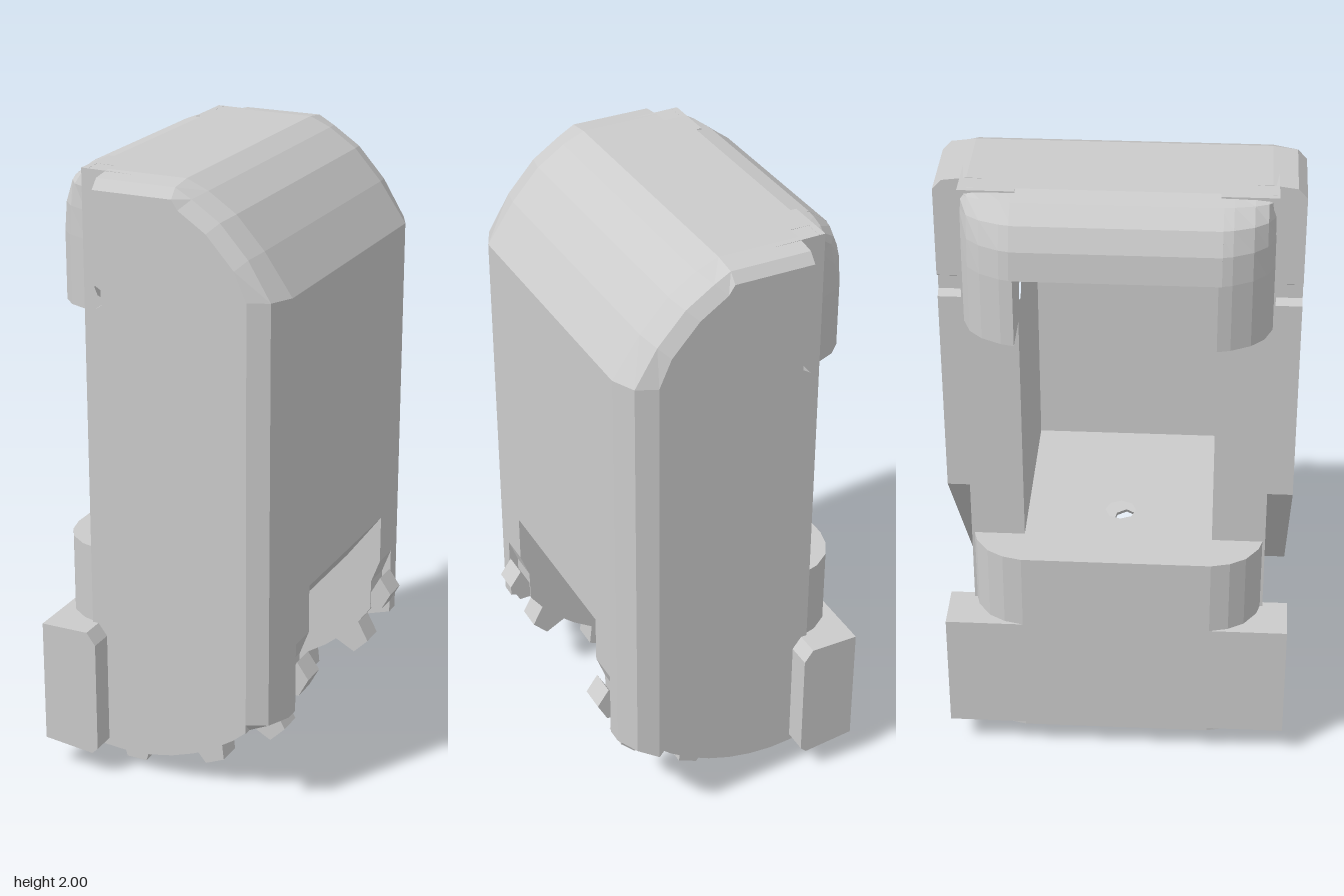
import * as THREE from 'three';

const material = new THREE.MeshStandardMaterial({ color: 0xcccccc, flatShading: true });

// rounded roof line from the flat top down to the front face
const ROOF = [[0.07, 2], [0.14, 1.97], [0.23, 1.91], [0.32, 1.81], [0.41, 1.68]];
// rounded back edge of the cap, from its lower corner up to the top
const CAP = [[-0.41, 1.78], [-0.4, 1.87], [-0.37, 1.94], [-0.31, 1.985], [-0.25, 2]];
// plan of the rounded back corner as [x, z]
const CORNER = [[-0.41, 0.3], [-0.395, 0.36], [-0.365, 0.41], [-0.31, 0.45], [-0.25, 0.467], [-0.2, 0.47]];
const GEAR = { x: -0.15, y: 0.7, r: 0.63 };

const flipZ = pts => pts.map(([x, z]) => [x, -z]);
const toShape = pts => new THREE.Shape(pts.map(p => new THREE.Vector2(...p)));

function hole(shape, x, y, r) {
  const path = new THREE.Path();
  path.absarc(x, y, r, 0, Math.PI * 2, true);
  shape.holes.push(path);
  return shape;
}

// prism of a side profile between two z values
function prism(shape, z0, z1) {
  return new THREE.ExtrudeGeometry(shape, { depth: z1 - z0, bevelEnabled: false, curveSegments: 4 }).translate(0, 0, z0);
}

// prism of a plan (x, z) between two y values
function slab(shape, y0, y1) {
  return new THREE.ExtrudeGeometry(shape, { depth: y1 - y0, bevelEnabled: false, curveSegments: 4 })
    .rotateX(-Math.PI / 2).translate(0, y0, 0);
}

// joins copies of a counter-clockwise profile along z, each reshaped by warp(point, layer)
function loft(profile, layers, warp, sign) {
  const ordered = sign > 0 ? layers : [...layers].reverse();
  const n = profile.length, pos = [], index = [];
  for (const l of ordered) for (const p of profile) pos.push(...warp(p, l), l.z * sign);
  for (let k = 0; k < ordered.length - 1; k++)
    for (let i = 0; i < n; i++) {
      const a = k * n + i, b = k * n + (i + 1) % n;
      index.push(a, b, b + n, a, b + n, a + n);
    }
  const top = (ordered.length - 1) * n;
  const caps = THREE.ShapeUtils.triangulateShape(profile.map(p => new THREE.Vector2(...p)), []);
  for (const [a, b, c] of caps) index.push(a, c, b, top + a, top + b, top + c);
  const g = new THREE.BufferGeometry();
  g.setAttribute('position', new THREE.Float32BufferAttribute(pos, 3));
  g.setIndex(index);
  const flat = g.toNonIndexed();
  flat.computeVertexNormals();
  return flat;
}

// points along the curved underside, angle measured from straight down
function arc(fromDeg, toDeg, steps) {
  return Array.from({ length: steps + 1 }, (_, i) => {
    const a = THREE.MathUtils.degToRad(fromDeg + (toDeg - fromDeg) * i / steps);
    return [GEAR.x + GEAR.r * Math.sin(a), GEAR.y - GEAR.r * Math.cos(a)];
  });
}

export function createModel() {
  const group = new THREE.Group();
  const add = (name, geometry) => {
    const mesh = new THREE.Mesh(geometry, material);
    mesh.name = name;
    group.add(mesh);
    return mesh;
  };

  // roof and front wall, ending in the sloped lip above the wheel opening
  add('roofAndFrontWall', prism(toShape([
    ...CAP, ...ROOF, [0.41, 0.7], [0.29, 0.54], [0.26, 0.57], [0.33, 0.72], [0.33, 1.66], [0.25, 1.78],
  ]), -0.31, 0.31));

  // back base with rounded corners, and the wider foot block around it
  const basePlan = [...CORNER, ...flipZ(CORNER).reverse()];
  add('backBase', slab(toShape(basePlan), 0.09, 0.72));
  add('footBlock', prism(toShape([
    [-0.41, 0.1], [-0.24, 0.08], [-0.22, 0.1], [-0.22, 0.47], [-0.25, 0.51], [-0.41, 0.51],
  ]), -0.55, 0.55));

  // floor of the inner chamber with its round hole
  const floor = toShape([...CORNER, [-0.2, 0.31], [0.35, 0.31], [0.35, -0.31], [-0.2, -0.31], ...flipZ(CORNER).reverse()]);
  add('chamberFloor', slab(hole(floor, -0.12, 0, 0.05), 0.715, 0.77));

  // sloping ceiling of the wheel opening, also pierced
  const ceiling = hole(toShape([[-0.01, -0.31], [0.21, -0.31], [0.21, 0.31], [-0.01, 0.31]]), 0.1, 0, 0.045);
  const ceilingMesh = add('openingCeiling', slab(ceiling, 0, 0.03));
  ceilingMesh.rotation.z = Math.atan2(0.13, 0.16);
  ceilingMesh.position.set(0.13, 0.41, 0);

  // curved back wall of the wheel opening, with a pointed centre rib
  add('openingBackWall', prism(toShape([
    [0.13, 0.41], [0.01, 0.38], [-0.08, 0.32], [-0.15, 0.22], [-0.17, 0.075],
    [-0.24, 0.075], [-0.24, 0.45], [0.12, 0.45],
  ]), -0.31, 0.31));
  add('centreRib', prism(toShape([
    [-0.18, 0.075], [-0.1, 0.08], [-0.08, 0.2], [-0.03, 0.37], [-0.12, 0.34],
  ]), -0.04, 0.04));

  // side plates and shells, mirrored
  const shellProfile = [
    [-0.19, 0.9], [0.31, 0.28], [0.41, 0.31], ...[...ROOF].reverse(), [-0.19, 2],
    [-0.19, 1.67], [-0.165, 1.655], [-0.165, 1.61], [-0.19, 1.595],
  ];
  const shellLayers = [
    { z: 0.4, dx: 0, dy: 0 }, { z: 0.45, dx: 0, dy: 0 },
    { z: 0.525, dx: 0.035, dy: 0.01 }, { z: 0.553, dx: 0.1, dy: 0.04 },
  ];
  const shellWarp = ([x, y], l) => {
    const wx = y < 0.3 ? 0 : x > 0.4 ? 1 : x > 0.1 ? 0.5 : 0;
    const wy = y > 1.7 ? 1 : 0;
    return [x - l.dx * wx, y - l.dy * wy];
  };

  const capProfile = [[-0.41, 1.56], [-0.25, 1.56], ...[...CAP].reverse()];
  const capLayers = [
    { z: 0.3, w: 0 }, { z: 0.34, w: 0.06 }, { z: 0.4, w: 0.25 }, { z: 0.44, w: 0.5 }, { z: 0.468, w: 0.93 },
  ];
  const capWarp = ([x, y], l) => [x + (-0.25 - x) * l.w, y];

  const innerProfile = [[-0.27, 0.08], [-0.27, 2], ...ROOF, [0.41, 0.54], [0.38, 0.46], ...arc(57, 0, 8)];
  const outerProfile = [[-0.27, 0.08], [-0.27, 2], [0.05, 1.995], [0.28, 1.7], [0.28, 0.5], ...arc(44, 0, 6)];

  for (const side of [1, -1]) {
    const tag = side > 0 ? 'front' : 'back';
    const span = (a, b) => side > 0 ? [a, b] : [-b, -a];
    add(tag + 'InnerPlate', prism(hole(toShape(innerProfile), -0.2, 1.635, 0.035), ...span(0.3, 0.405)));
    add(tag + 'OuterPlate', prism(hole(toShape(outerProfile), -0.2, 1.635, 0.035), ...span(0.4, 0.47)));
    add(tag + 'Shell', loft(shellProfile, shellLayers, shellWarp, side));
    add(tag + 'CapLeg', loft(capProfile, capLayers, capWarp, side));

    // tapered teeth around the curved underside
    for (const deg of [-1, 23, 45, 62]) {
      const reach = deg > 60 ? 0.03 : 0.07;
      const tooth = add(tag + 'Tooth', prism(toShape([
        [-0.065, 0.03], [-0.035, -reach], [0.035, -reach], [0.065, 0.03],
      ]), ...span(0.305, 0.39)));
      const a = THREE.MathUtils.degToRad(deg);
      tooth.position.set(GEAR.x + GEAR.r * Math.sin(a), GEAR.y - GEAR.r * Math.cos(a), 0);
      tooth.rotation.z = a;
    }
  }
  return group;
}
